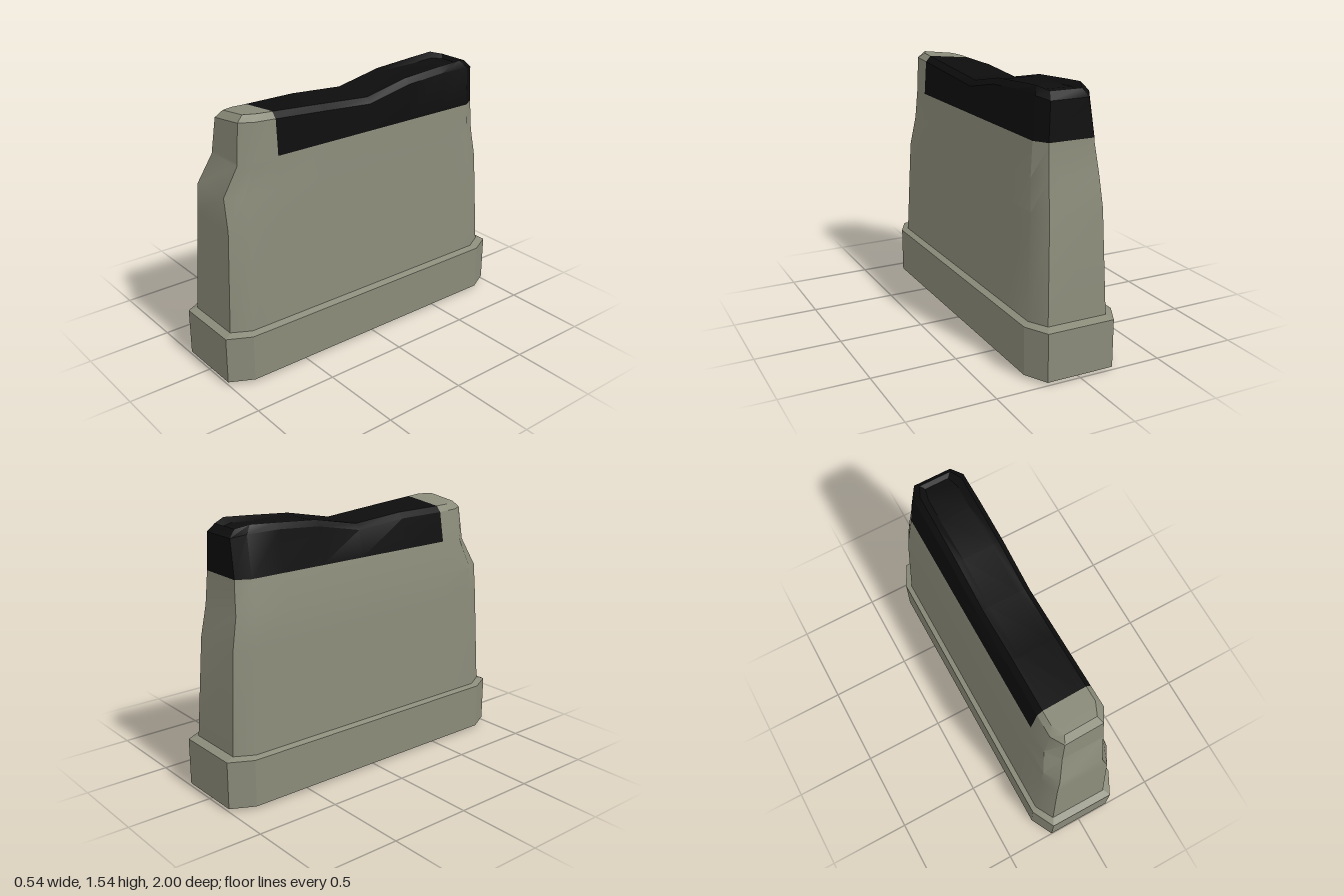
import * as THREE from 'three';
import { toCreasedNormals } from 'three/addons/utils/BufferGeometryUtils.js';

const SPLIT_Z = 0.61;
const SPLIT_Y = 1.27;
const STATIONS = [SPLIT_Z, 0.3, -0.03, -0.32, -0.58];

// Crest height along z: a saddle in the middle, highest near the back
const CREST = [[-0.87, 1.513], [-0.83, 1.522], [-0.74, 1.545], [-0.32, 1.515],
  [-0.03, 1.456], [0.3, 1.482], [SPLIT_Z, 1.505], [0.75, 1.515], [0.85, 1.512]];

function crest(x, z) {
  let i = 0;
  while (i < CREST.length - 2 && z > CREST[i + 1][0]) i++;
  const [z0, y0] = CREST[i], [z1, y1] = CREST[i + 1];
  const y = THREE.MathUtils.lerp(y0, y1, (z - z0) / (z1 - z0));
  // the front end leans down towards the model's right
  const front = THREE.MathUtils.smoothstep(z, 0.2, 0.75);
  return y - front * THREE.MathUtils.clamp((0.13 - x) / 0.24, 0, 1) * 0.03;
}

// Octagonal ring, counterclockwise from above, with extra points on the sides
function ring(s, stations, yAt) {
  const bl = s.bl ?? s.fl, br = s.br ?? s.fr, c = s.c;
  const right = [[s.cr ?? s.xr, s.zf - c], ...stations.map(z => [s.xr, z]), [s.xr, s.zb + c]];
  const left = [[s.xl, s.zb + c], ...[...stations].reverse().map(z => [s.xl, z]), [s.xl, s.zf - c]];
  return [...right, [br, s.zb], [bl, s.zb], ...left, [s.fl, s.zf], [s.fr, s.zf]]
    .map(([x, z]) => [x, yAt(x, z), z]);
}

// Collects quads into a main list and a dark list
function quad(lists, dark, a, b, c, d) {
  (dark ? lists[1] : lists[0]).push(...a, ...b, ...c, ...a, ...c, ...d);
}

function skin(lists, rings, isDark) {
  for (let i = 0; i < rings.length - 1; i++) {
    const lo = rings[i], hi = rings[i + 1], n = lo.length;
    for (let j = 0; j < n; j++) {
      const k = (j + 1) % n, pts = [lo[j], lo[k], hi[k], hi[j]];
      quad(lists, isDark(pts), ...pts);
    }
  }
}

// Closes a ring with strips running from side to side
function cap(lists, r, isDark, down = false) {
  const s = (r.length - 4) / 2;
  const pairs = [[r[2 * s + 3], r[2 * s + 2]]];
  for (let k = 0; k < s; k++) pairs.push([r[k], r[2 * s + 1 - k]]);
  pairs.push([r[s], r[s + 1]]);
  for (let i = 0; i < pairs.length - 1; i++) {
    const pts = [pairs[i][0], pairs[i + 1][0], pairs[i + 1][1], pairs[i][1]];
    quad(lists, isDark(pts), ...(down ? [...pts].reverse() : pts));
  }
}

function makeMesh(name, lists, materials, crease) {
  const g = new THREE.BufferGeometry();
  g.setAttribute('position', new THREE.Float32BufferAttribute([...lists[0], ...lists[1]], 3));
  g.addGroup(0, lists[0].length / 3, 0);
  if (lists[1].length) g.addGroup(lists[0].length / 3, lists[1].length / 3, 1);
  const mesh = new THREE.Mesh(toCreasedNormals(g, crease), materials);
  mesh.name = name;
  return mesh;
}

export function createModel() {
  const stone = new THREE.MeshStandardMaterial({ color: 0x8b8b7a });
  stone.name = 'grey stone';
  const black = new THREE.MeshStandardMaterial({ color: 0x0d0d0d });
  black.name = 'black top';
  const materials = [stone, black];
  const group = new THREE.Group();
  group.name = 'block';

  // Plinth with bevelled lower and upper edges
  const plain = () => false;
  const octagon = (y, x, z, f, c) =>
    ring({ xl: -x, xr: x, fl: -f, fr: f, zf: z, zb: -z, c }, [], () => y);
  const baseRings = [
    octagon(0, 0.24, 0.955, 0.18, 0.115),
    octagon(0.018, 0.27, 1, 0.2, 0.135),
    octagon(0.295, 0.27, 1, 0.2, 0.135),
    octagon(0.31, 0.235, 0.95, 0.175, 0.11),
  ];
  const base = [[], []];
  skin(base, baseRings, plain);
  cap(base, baseRings[0], plain, true);
  group.add(makeMesh('plinth', base, materials, 0.3));

  // Tapering body, dented at the front left corner
  const sections = [
    { y: 0.305, xl: -0.24, xr: 0.235, zf: 0.955, zb: -0.95, fl: -0.18, fr: 0.175, c: 0.11 },
    { y: 0.9, xl: -0.215, xr: 0.21, zf: 0.92, zb: -0.912, fl: -0.165, fr: 0.155, c: 0.1 },
    { y: 1.08, xl: -0.205, xr: 0.2, cr: 0.17, zf: 0.91, zb: -0.88, fl: -0.155, fr: 0.11, br: 0.145, c: 0.09 },
    { y: 1.25, xl: -0.175, xr: 0.19, cr: 0.18, zf: 0.837, zb: -0.866, fl: -0.11, fr: 0.14, bl: -0.13, c: 0.08 },
    { y: SPLIT_Y, xl: -0.172, xr: 0.189, cr: 0.179, zf: 0.835, zb: -0.865, fl: -0.109, fr: 0.139, bl: -0.13, c: 0.08 },
  ];
  const rings = sections.map(s => ring(s, STATIONS, () => s.y));
  // Rim bevel, crest and shallow dish on top
  const rim = { xl: -0.14, xr: 0.175, zf: 0.815, zb: -0.86, fl: -0.095, fr: 0.13, c: 0.075 };
  const inset = (d, dz) => ({ xl: rim.xl + d, xr: rim.xr - d, zf: rim.zf - dz, zb: rim.zb + dz,
    fl: rim.fl + d * 0.6, fr: rim.fr - d * 0.6, c: rim.c });
  const dish = (x, z) => crest(x, z) - 0.028 * THREE.MathUtils.smoothstep(-z, 0.1, 0.7);
  rings.push(
    ring(rim, STATIONS, (x, z) => crest(x, z) - 0.033),
    ring(inset(0.03, 0.04), STATIONS, crest),
    ring(inset(0.068, 0.06), STATIONS, dish),
  );
  const isDark = pts => pts.every(p => p[1] > SPLIT_Y - 0.001 && p[2] < SPLIT_Z + 0.001);
  const body = [[], []];
  skin(body, rings, isDark);
  cap(body, rings[rings.length - 1], isDark);
  group.add(makeMesh('body', body, materials, 0.55));

  return group;
}
